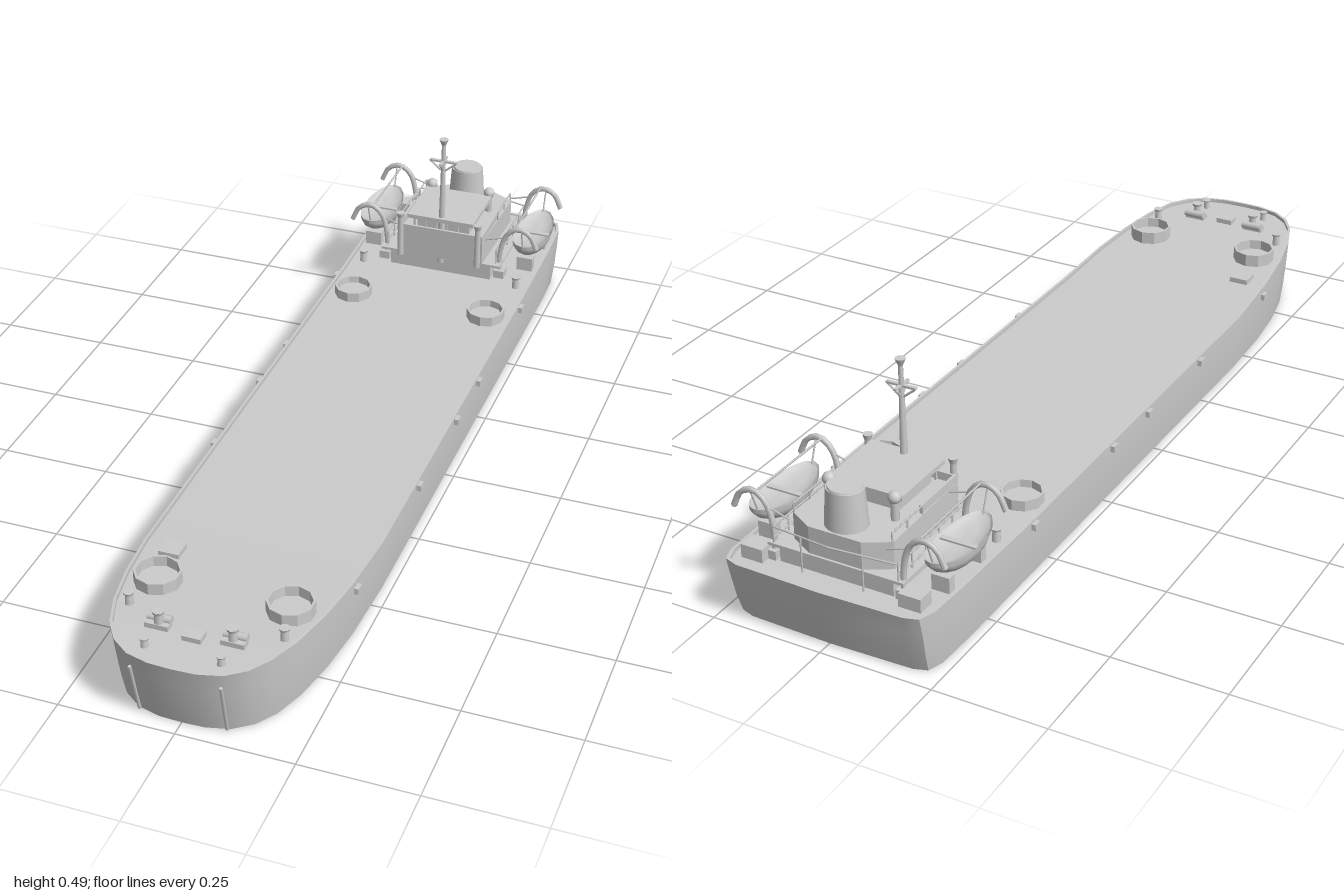
import * as THREE from 'three';
import { toCreasedNormals } from 'three/addons/utils/BufferGeometryUtils.js';

const mat = new THREE.MeshStandardMaterial({ color: 0xcccccc, side: THREE.DoubleSide });
const V = (x, y, z) => new THREE.Vector3(x, y, z);

// Half outline of the deck edge (x, z), from stem to stern
const OUTLINE = [[0, 1], [.05, .998], [.1, .985], [.14, .955], [.17, .91], [.195, .84], [.215, .74],
  [.228, .62], [.235, .45], [.235, .1], [.235, -.3], [.235, -.6], [.235, -.85], [.232, -.95],
  [.22, -.985], [.19, -.995], [0, -1]];
const sheer = z => z > .45 ? .13 + .032 * Math.min(1, (z - .45) / .45)
  : z < -.6 ? .13 + .01 * (-z - .6) / .4 : .13;
const deckY = z => sheer(z) - .009;

function add(parent, name, geo, x = 0, y = 0, z = 0) {
  const m = new THREE.Mesh(geo, mat);
  m.name = name;
  m.position.set(x, y, z);
  parent.add(m);
  return m;
}
const box = (g, name, w, h, d, x, y, z) => add(g, name, new THREE.BoxGeometry(w, h, d), x, y + h / 2, z);
const cyl = (g, name, rt, rb, h, x, y, z, n = 8) => add(g, name, new THREE.CylinderGeometry(rt, rb, h, n), x, y + h / 2, z);
function rod(g, name, a, b, r = .002) {
  const m = cyl(g, name, r, r, a.distanceTo(b), 0, 0, 0, 5);
  m.position.copy(a).lerp(b, .5);
  m.quaternion.setFromUnitVectors(V(0, 1, 0), b.clone().sub(a).normalize());
}

// Lofted hull: bottom, sides, bulwark lip and sunken deck
function hullGeometry() {
  const n = OUTLINE.length, N = 2 * n - 2;
  const levels = [
    [.975, .965, () => 0], [.99, .978, z => sheer(z) * .3], [1, .99, z => sheer(z) * .7],
    [1, 1, sheer], [.975, .994, sheer], [.975, .994, deckY]];
  const pos = [], idx = [];
  for (const [sx, sz, fy] of levels)
    for (let i = 0; i < N; i++) {
      const [x, z] = OUTLINE[i < n ? i : N - i];
      pos.push((i < n ? x : -x) * sx, fy(z), z * sz);
    }
  for (let l = 0; l < levels.length - 1; l++)
    for (let i = 0; i < N; i++) {
      const j = (i + 1) % N, a = l * N + i, b = l * N + j;
      idx.push(a, b, b + N, a, b + N, a + N);
    }
  const top = (levels.length - 1) * N;
  for (let i = 0; i < n - 1; i++) {
    const li = (N - i) % N, lj = N - i - 1;
    idx.push(top + li, top + i, top + i + 1, top + li, top + i + 1, top + lj);
    idx.push(li, i + 1, i, li, lj, i + 1);
  }
  const g = new THREE.BufferGeometry();
  g.setAttribute('position', new THREE.Float32BufferAttribute(pos, 3));
  g.setIndex(idx);
  return toCreasedNormals(g, .7);
}

// Open boat: an ellipsoid whose upper half is folded down into a dish
function boatGeometry() {
  const g = new THREE.SphereGeometry(1, 16, 16), p = g.attributes.position;
  for (let i = 0; i < p.count; i++) {
    const x = p.getX(i), y = p.getY(i), z = p.getZ(i);
    const rise = .008 * z * z;
    p.setXYZ(i, x * .046, (y > 0 ? -.014 * y : .048 * y) + rise, z * .105);
  }
  return toCreasedNormals(g, .8);
}

function gunTub(g, x, z, r, h) {
  const prof = [[0, .007], [r - .006, .007], [r - .005, h], [r, h], [r, 0]].map(p => new THREE.Vector2(...p));
  add(g, 'gunTub', toCreasedNormals(new THREE.LatheGeometry(prof, 10), .5), x, deckY(z), z);
}

function bollard(g, x, z, h, r) {
  cyl(g, 'bollard', r, r * 1.2, h, x, deckY(z), z);
  cyl(g, 'bollardCap', r * 1.5, r * 1.3, h * .2, x, deckY(z) + h, z);
}

function lifeboatStation(s) {
  const g = new THREE.Group();
  g.name = s > 0 ? 'leftLifeboatStation' : 'rightLifeboatStation';
  add(g, 'lifeboat', boatGeometry(), s * .201, .207, -.805);
  box(g, 'thwart', .08, .004, .012, s * .201, .2, -.805);
  for (const z of [-.69, -.92]) {
    const arch = new THREE.CatmullRomCurve3([V(s * .148, .13, z), V(s * .149, .2, z), V(s * .165, .25, z),
      V(s * .192, .268, z), V(s * .222, .256, z), V(s * .24, .22, z)]);
    add(g, 'davit', new THREE.TubeGeometry(arch, 14, .0065, 6));
    box(g, 'davitFoot', .026, .02, .03, s * .15, .13, z);
    rod(g, 'boatFall', V(s * .2, .266, z), V(s * .2, .212, z + (z > -.8 ? -.02 : .02)));
    box(g, 'boatChock', .04, .035, .02, s * .2, .13, z > -.8 ? -.745 : -.865);
    rod(g, 'davitStay', V(s * .155, .238, z), V(s * .11, .225, z));
  }
  rod(g, 'davitSpan', V(s * .185, .268, -.69), V(s * .185, .268, -.92), .0025);
  // Railing beside the house
  for (const y of [.18, .205]) rod(g, 'rail', V(s * .142, y, -.68), V(s * .142, y, -.93));
  for (let i = 0; i < 6; i++) rod(g, 'railPost', V(s * .142, .165, -.68 - i * .05), V(s * .142, .205, -.68 - i * .05));
  return g;
}

function superstructure() {
  const g = new THREE.Group();
  g.name = 'superstructure';
  box(g, 'lowerHouse', .26, .04, .26, 0, .125, -.8);
  box(g, 'boatDeck', .31, .006, .27, 0, .163, -.8);
  // Main house, slightly wider aft
  const s = new THREE.Shape([[-.11, .66], [.11, .66], [.115, .9], [.06, .93], [-.06, .93], [-.115, .9]]
    .map(p => new THREE.Vector2(...p)));
  const house = add(g, 'mainHouse', new THREE.ExtrudeGeometry(s, { depth: .062, bevelEnabled: false }), 0, .23, 0);
  house.rotation.x = Math.PI / 2;
  house.scale.y = -1;
  house.geometry.scale(1, -1, 1);
  house.scale.y = 1;
  // Bridge front bulwark, wheelhouse and overhanging roof
  box(g, 'bridgeBulwark', .22, .02, .006, 0, .228, -.66);
  for (const k of [-1, 1]) box(g, 'bridgeBulwark', .006, .02, .13, k * .107, .228, -.724);
  box(g, 'wheelhouse', .13, .04, .12, 0, .228, -.74);
  box(g, 'wheelhouseRoof', .17, .01, .16, 0, .267, -.74);
  for (let i = 0; i < 6; i++) box(g, 'windowPost', .005, .034, .005, -.07 + i * .028, .234, -.672);
  // Funnel
  const funnel = cyl(g, 'funnel', .04, .046, .085, 0, .228, -.885, 16);
  funnel.scale.z = .9;
  cyl(g, 'funnelCap', .034, .036, .006, 0, .311, -.885, 16);
  // Ventilators and rails
  for (const k of [-1, 1]) {
    cyl(g, 'ventilator', .007, .008, .11, k * .1, .165, -.652);
    cyl(g, 'ventilatorHead', .011, .008, .012, k * .1, .27, -.652);
    cyl(g, 'aftVentilator', .009, .009, .05, k * .075, .228, -.83);
    add(g, 'aftVentilatorHead', new THREE.SphereGeometry(.014, 10, 8), k * .075, .28, -.83);
    box(g, 'sternLocker', .05, .03, .04, k * .18, .13, -.935);
    bollard(g, k * .2, -.66, .025, .008);
    rod(g, 'aftRail', V(k * .14, .205, -.93), V(0, .215, -.955));
    rod(g, 'aftRailPost', V(k * .07, .13, -.943), V(k * .07, .21, -.943));
    rod(g, 'houseRail', V(k * .112, .25, -.79), V(k * .112, .25, -.9));
    for (const z of [-.79, -.845, -.9]) rod(g, 'houseRailPost', V(k * .112, .228, z), V(k * .112, .25, z));
  }
  return g;
}

function mast() {
  const g = new THREE.Group();
  g.name = 'mast';
  cyl(g, 'mastPole', .005, .01, .325, 0, .15, -.675);
  cyl(g, 'mastHead', .012, .005, .016, 0, .474, -.675);
  box(g, 'crosstree', .068, .005, .008, 0, .428, -.675);
  box(g, 'foreAftSpreader', .007, .005, .05, 0, .428, -.675);
  for (const k of [-1, 1]) {
    rod(g, 'crosstreeBrace', V(k * .032, .428, -.675), V(0, .402, -.675), .0025);
    rod(g, 'spreaderBrace', V(0, .428, -.675 + k * .023), V(0, .405, -.675), .0025);
  }
  return g;
}

export function createModel() {
  const ship = new THREE.Group();
  ship.name = 'landingShip';
  add(ship, 'hull', hullGeometry());
  for (const s of [-1, 1]) {
    // Bow door ribs following the rake of the stem
    for (const x of [.05, .095]) rod(ship, 'bowDoorRib', V(s * x * .975, .004, .962 - x * .05), V(s * x, .13, .992 - x * .08), .004);
    gunTub(ship, s * .17, -.5, .046, .024);
    gunTub(ship, s * .143, .74, .05, .03);
    // Foredeck fittings
    bollard(ship, s * .165, .83, .025, .008);
    bollard(ship, s * .08, .945, .018, .007);
    box(ship, 'winchBase', .05, .012, .022, s * .08, deckY(.88), .88);
    bollard(ship, s * .078, .88, .034, .009);
    const drum = cyl(ship, 'winchDrum', .009, .009, .05, s * .08, deckY(.88), .87, 10);
    drum.rotation.z = Math.PI / 2;
    drum.position.y = deckY(.88) + .014;
    // Side fairleads
    for (const z of [.6, .22, -.05, -.22, -.57])
      box(ship, 'sideFairlead', .012, .014, .02, s * (z > .5 ? .232 : .239), .112, z);
    ship.add(lifeboatStation(s));
  }
  box(ship, 'foredeckHatch', .04, .012, .03, 0, deckY(.89), .89);
  box(ship, 'deckHatch', .045, .012, .045, -.16, deckY(.63), .63);
  ship.add(superstructure(), mast());
  return ship;
}
